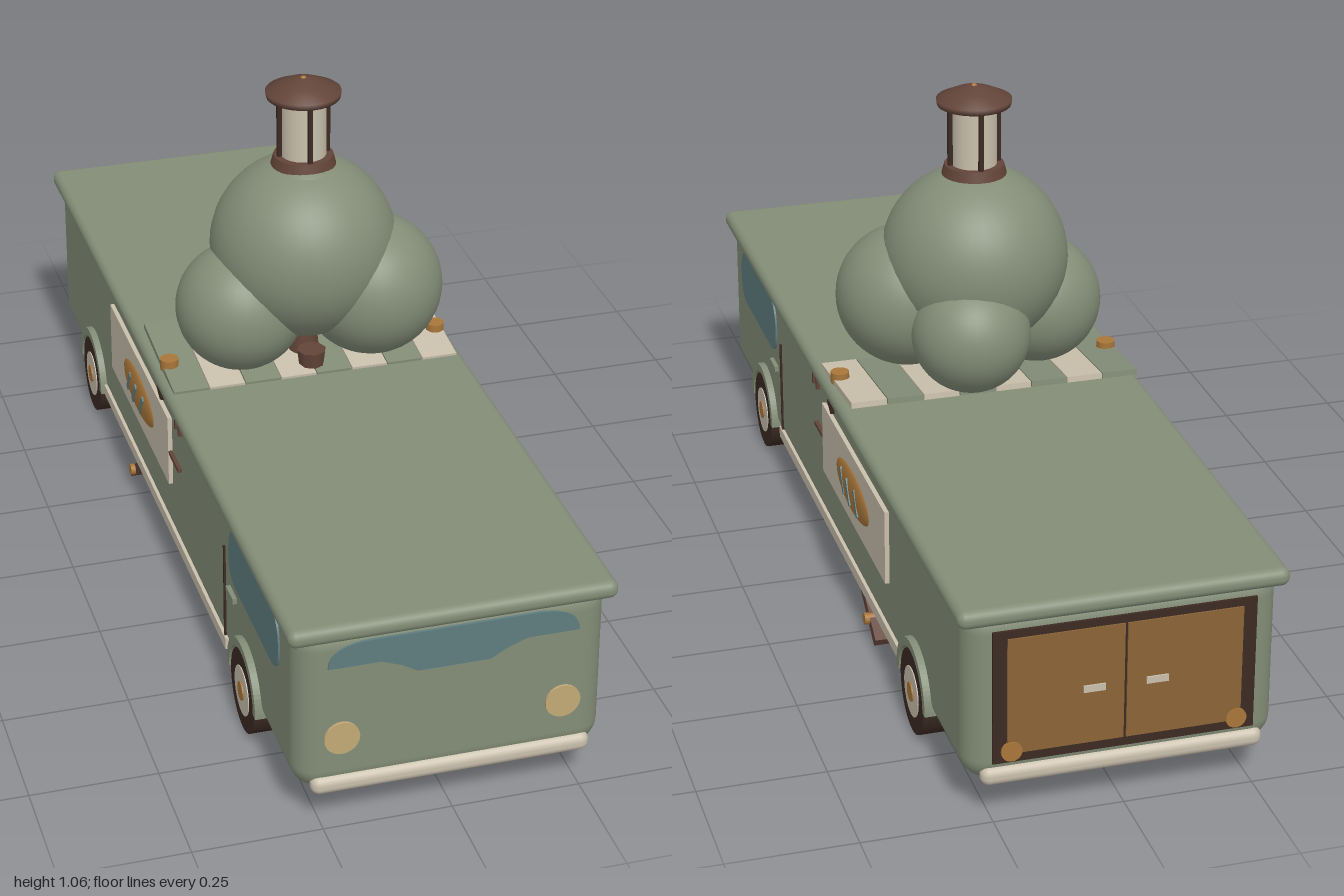
import * as THREE from 'three';
import { RoundedBoxGeometry } from 'three/addons/geometries/RoundedBoxGeometry.js';

const mat = (name, color) => {
  const m = new THREE.MeshStandardMaterial({ color });
  m.name = name;
  return m;
};

export function createModel() {
  const root = new THREE.Group();
  const green = mat('sageGreen', 0x838d77);
  const cream = mat('cream', 0xc9bfac);
  const brown = mat('brown', 0x624439);
  const dark = mat('darkBrown', 0x3b2a22);
  const tan = mat('crust', 0xa8763a);
  const wood = mat('doorWood', 0x8a6337);
  const glass = mat('glass', 0x5f7d80);
  const lamp = mat('lampYellow', 0xc2aa76);

  // Helpers
  const add = (name, geo, m, x = 0, y = 0, z = 0, rx = 0, ry = 0, rz = 0, parent = root) => {
    const mesh = new THREE.Mesh(geo, m);
    mesh.name = name;
    mesh.position.set(x, y, z);
    mesh.rotation.set(rx, ry, rz);
    parent.add(mesh);
    return mesh;
  };
  const box = (w, h, d) => new THREE.BoxGeometry(w, h, d);
  const round = (w, h, d, r, n = 5) => new RoundedBoxGeometry(w, h, d, n, r);
  const cyl = (r1, r2, h, n = 32) => new THREE.CylinderGeometry(r1, r2, h, n);
  const ball = (r) => new THREE.SphereGeometry(r, 40, 28);
  const plate = (shape, depth) => new THREE.ExtrudeGeometry(shape, { depth, bevelEnabled: false, curveSegments: 16 });
  const Q = Math.PI / 2;

  // Van shell
  add('body', round(0.596, 0.36, 1.98, 0.05), green, 0, 0.25, 0);
  add('roof', round(0.628, 0.036, 2, 0.017), green, 0, 0.418, 0);
  for (const s of [1, -1]) add('bumper', round(0.54, 0.038, 0.036, 0.017), cream, 0, 0.09, s * 0.981);

  // Windscreen and headlights
  const screen = new THREE.Shape();
  screen.moveTo(-0.24, 0.345);
  for (const [x, y] of [[-0.14, 0.345], [-0.1, 0.33], [-0.07, 0.312], [0.07, 0.312], [0.1, 0.33], [0.14, 0.345], [0.24, 0.345]]) screen.lineTo(x, y);
  screen.quadraticCurveTo(0.24, 0.393, 0.16, 0.395);
  screen.lineTo(-0.16, 0.395);
  screen.quadraticCurveTo(-0.24, 0.393, -0.24, 0.345);
  add('windscreen', plate(screen, 0.006), glass, 0, 0, 0.987);
  for (const s of [1, -1]) add('headlight', cyl(0.034, 0.034, 0.014), lamp, s * 0.213, 0.192, 0.988, Q);

  // Rear doors
  add('rearDoorFrame', box(0.5, 0.27, 0.014), dark, 0, 0.253, -0.988);
  for (const s of [1, -1]) {
    add('rearDoor', box(0.221, 0.236, 0.008), wood, s * 0.113, 0.255, -0.994);
    add('rearDoorHandle', box(0.042, 0.014, 0.008), cream, s * 0.06, 0.25, -0.997);
    add('tailLight', cyl(0.02, 0.02, 0.01, 24), tan, s * 0.215, 0.142, -0.995, Q);
  }

  // Side window outline
  const win = new THREE.Shape();
  win.moveTo(-0.13, -0.06);
  win.lineTo(0.13, -0.06);
  win.quadraticCurveTo(0.176, -0.055, 0.176, -0.005);
  win.quadraticCurveTo(0.176, 0.055, 0.13, 0.06);
  win.lineTo(-0.13, 0.06);
  win.quadraticCurveTo(-0.176, 0.055, -0.176, -0.005);
  win.quadraticCurveTo(-0.176, -0.055, -0.13, -0.06);

  // Fittings on both sides
  for (const s of [1, -1]) {
    const side = new THREE.Group();
    side.name = s > 0 ? 'leftSide' : 'rightSide';
    root.add(side);
    const put = (name, geo, m, x, y, z, rx = 0, ry = 0, rz = 0) => add(name, geo, m, s * x, y, z, rx, ry, rz, side);
    put('sideWindow', plate(win, 0.006), glass, 0.296, 0.331, 0.705, 0, s * Q);
    put('doorSeam', box(0.006, 0.215, 0.006), dark, 0.299, 0.207, 0.49);
    put('doorHandle', box(0.012, 0.012, 0.05), green, 0.301, 0.24, 0.55);
    put('sill', box(0.016, 0.024, 1.08), cream, 0.296, 0.098, -0.035);
    put('signBoard', box(0.01, 0.155, 0.515), cream, 0.302, 0.288, -0.188);
    put('signRail', box(0.008, 0.008, 0.08), brown, 0.302, 0.285, 0.107);
    put('loaf', ball(1), tan, 0.305, 0.286, -0.188).scale.set(0.012, 0.045, 0.134);
    for (let i = -1; i <= 1; i++) {
      put('loafScore', box(0.006, 0.055, 0.012), glass, i ? 0.314 : 0.316, 0.286, -0.188 + i * 0.055, 0.55);
    }
    for (const z of [0.155, 0.125]) put('hook', box(0.01, 0.03, 0.008), brown, 0.301, 0.387, z);
    put('peg', cyl(0.012, 0.006, 0.03, 16), dark, 0.3, 0.388, 0);
    put('roofKnob', cyl(0.019, 0.019, 0.024, 20), tan, 0.284, 0.453, 0);

    // Wheels and arches
    for (const z of [0.65, -0.65]) {
      const wheel = new THREE.Group();
      wheel.name = 'wheel';
      wheel.position.set(s * 0.28, 0.086, z);
      side.add(wheel);
      add('tyre', cyl(0.084, 0.084, 0.058, 40), dark, 0, 0, 0, 0, 0, Q, wheel);
      add('hub', cyl(0.05, 0.05, 0.062), cream, 0, 0, 0, 0, 0, Q, wheel);
      add('hubCap', cyl(0.019, 0.019, 0.068, 20), tan, 0, 0, 0, 0, 0, Q, wheel);
      const arch = new THREE.Shape();
      arch.absarc(0, 0, 0.104, 0, Math.PI, false);
      arch.absarc(0, 0, 0.087, Math.PI, 0, true);
      put('wheelArch', plate(arch, 0.04), green, 0.272, 0.088, z, 0, s * Q);
    }
  }

  // Striped awning lying on the roof
  for (let i = 0; i < 8; i++) {
    add('awningStripe', box(0.073, 0.012, 0.26), i % 2 ? cream : green, -0.2625 + i * 0.075, 0.448, -0.03, 0.1);
  }

  // Tree: trunk and foliage clumps
  add('trunk', cyl(0.022, 0.034, 0.12, 20), brown, 0, 0.49, 0);
  add('trunkFoot', cyl(0.03, 0.026, 0.035, 8), brown, 0, 0.458, 0.06);
  for (const [x, y, z, r] of [
    [0, 0.69, 0, 0.19], [0.13, 0.602, 0.043, 0.146], [-0.137, 0.574, 0.015, 0.132],
    [0.04, 0.57, -0.117, 0.12], [0.0, 0.777, 0.01, 0.109],
  ]) add('foliage', ball(r), green, x, y, z);

  // Lantern on the tree top
  add('lanternBase', cyl(0.06, 0.066, 0.022), brown, 0, 0.878, 0);
  add('lanternPane', cyl(0.046, 0.046, 0.15), cream, 0, 0.95, 0);
  for (let i = 0; i < 4; i++) {
    const a = i * Q;
    add('lanternPost', box(0.009, 0.15, 0.009), dark, 0.05 * Math.cos(a), 0.95, 0.05 * Math.sin(a));
  }
  const cap = [[0, 1.014], [0.074, 1.014], [0.076, 1.026], [0.04, 1.043], [0.012, 1.053], [0, 1.054]];
  add('lanternCap', new THREE.LatheGeometry(cap.map((p) => new THREE.Vector2(...p)), 32), brown);
  add('lanternTip', ball(0.007), tan, 0, 1.05, 0);

  // Round platform under the van with a stone rim
  add('platform', cyl(0.25, 0.25, 0.014, 48), dark, 0, 0.012, 0);
  const stone = round(0.04, 0.018, 0.068, 0.007, 3);
  for (let i = 0; i < 22; i++) {
    const a = (i / 22) * Math.PI * 2;
    add('rimStone', stone, cream, 0.246 * Math.cos(a), 0.014, 0.246 * Math.sin(a), 0, -a, 0);
  }
  for (const s of [1, -1]) {
    add('platformBar', box(0.04, 0.008, 0.17), cream, s * 0.055, 0.004, 0);
    add('platformPost', cyl(0.014, 0.014, 0.07, 16), brown, s * 0.2, 0.052, 0);
    add('platformPost', cyl(0.014, 0.014, 0.07, 16), brown, s * 0.17, 0.052, 0.1);
    add('cushionStone', ball(1), cream, s * 0.08, 0.038, 0.15).scale.set(0.04, 0.024, 0.04);
  }
  add('platformCrossbar', box(0.08, 0.008, 0.03), tan, 0, 0.004, 0);
  add('ovenDome', ball(1), cream, 0, 0.09, 0).scale.set(0.175, 0.075, 0.14);
  add('ovenMouth', ball(1), tan, 0, 0.085, 0).scale.set(0.045, 0.065, 0.155);

  // Folding step bar
  add('stepBar', cyl(0.012, 0.012, 0.62, 16), tan, 0, 0.045, -0.28, 0, 0, Q);
  for (const s of [1, -1]) {
    add('stepArm', box(0.07, 0.022, 0.125), brown, s * 0.265, 0.048, -0.275, -0.6 + 0);
  }
  // Arms slope down towards the rear
  return root;
}
